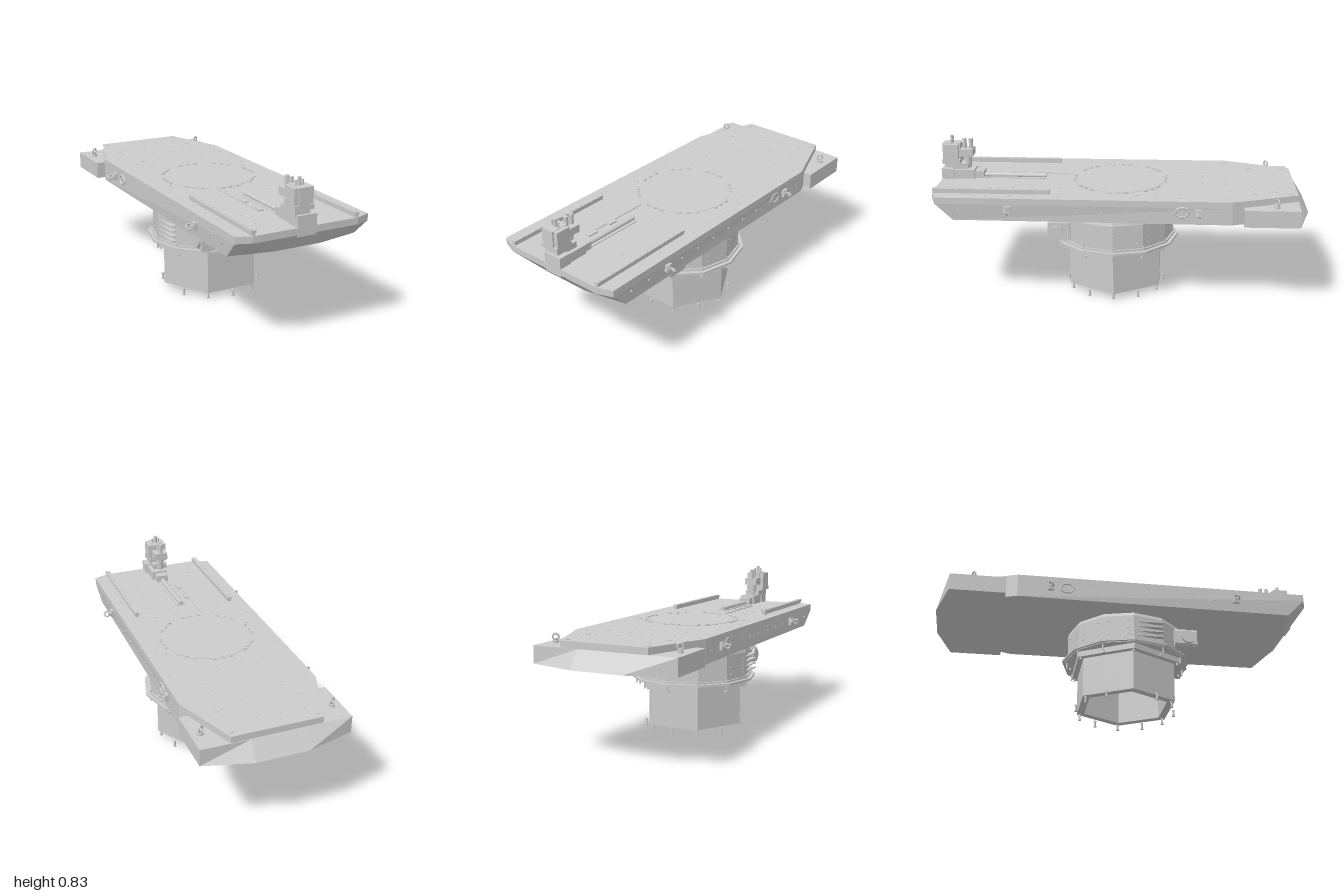
import * as THREE from 'three';

const mat = new THREE.MeshStandardMaterial({ color: 0xcccccc, flatShading: true, side: THREE.DoubleSide });
const CZ = 0.042; // z of the turning axis

function add(parent, name, geo, x = 0, y = 0, z = 0) {
  const m = new THREE.Mesh(geo, mat);
  m.name = name;
  m.position.set(x, y, z);
  parent.add(m);
  return m;
}
const box = (p, name, x0, x1, y0, y1, z0, z1) =>
  add(p, name, new THREE.BoxGeometry(x1 - x0, y1 - y0, z1 - z0), (x0 + x1) / 2, (y0 + y1) / 2, (z0 + z1) / 2);
const post = (p, name, r, y0, y1, x, z, n = 8) =>
  add(p, name, new THREE.CylinderGeometry(r, r, y1 - y0, n), x, (y0 + y1) / 2, z);
const lathe = (p, name, n, pts) =>
  add(p, name, new THREE.LatheGeometry(pts.map(([r, y]) => new THREE.Vector2(r, y)), n, Math.PI / 2), 0, 0, CZ);

// Solid between stacked outlines; each outline is the +x half, front to back
function loft(levels) {
  const rings = levels.map(({ y, half }) =>
    [...half, ...half.map(([x, z]) => [-x, z]).reverse()].map(([x, z]) => [x, y, z]));
  const v = [], n = rings[0].length;
  const lo = rings[0], hi = rings[rings.length - 1];
  for (let k = 0; k + 1 < rings.length; k++)
    for (let i = 0; i < n; i++) {
      const j = (i + 1) % n, a = rings[k], b = rings[k + 1];
      v.push(...a[i], ...a[j], ...b[j], ...a[i], ...b[j], ...b[i]);
    }
  for (let i = 1; i + 1 < n; i++) {
    v.push(...hi[0], ...hi[i], ...hi[i + 1]);
    v.push(...lo[0], ...lo[i + 1], ...lo[i]);
  }
  const g = new THREE.BufferGeometry();
  g.setAttribute('position', new THREE.Float32BufferAttribute(v, 3));
  g.computeVertexNormals();
  return g;
}

// Lifting eye standing on its local y = 0
function liftingEye(parent, x, y, z) {
  const g = new THREE.Group();
  g.name = 'liftingEye';
  post(g, 'eyeCollar', 0.016, 0, 0.014, 0, 0, 10);
  post(g, 'eyeStem', 0.008, 0.01, 0.024, 0, 0);
  add(g, 'eyeRing', new THREE.TorusGeometry(0.015, 0.005, 6, 14), 0, 0.032, 0).rotation.y = 0.6;
  g.position.set(x, y, z);
  parent.add(g);
  return g;
}

function buildBase() {
  const g = new THREE.Group();
  g.name = 'base';
  // Hollow hexagonal pedestal and its flange
  lathe(g, 'pedestal', 6, [[0, 0.24], [0.24, 0.24], [0.24, 0.035], [0.285, 0.035], [0.285, 0.25], [0, 0.25]]);
  lathe(g, 'flange', 6, [[0, 0.25], [0.318, 0.25], [0.318, 0.28], [0, 0.28]]);
  // Bearing rings
  lathe(g, 'bearingRing', 12, [[0, 0.28], [0.335, 0.28], [0.335, 0.284], [0.348, 0.284], [0.348, 0.295], [0, 0.295]]);
  lathe(g, 'upperRing', 12, [[0, 0.295], [0.328, 0.295], [0.328, 0.305], [0, 0.305]]);
  for (let i = 0; i < 12; i++) {
    const a = i * Math.PI / 6, c = Math.cos(a), s = Math.sin(a);
    post(g, 'flangeBolt', 0.006, 0.238, 0.25, 0.303 * c, CZ + 0.303 * s);
    post(g, 'ringStud', 0.004, 0.245, 0.318, 0.322 * c, CZ + 0.322 * s);
    if (i === 6) continue;
    // Anchor bolts below the pedestal
    const x = 0.267 * c, z = CZ + 0.267 * s;
    post(g, 'anchorHead', 0.0085, 0, 0.006, x, z);
    post(g, 'anchorShaft', 0.0055, 0.006, 0.028, x, z);
    post(g, 'anchorNut', 0.008, 0.028, 0.037, x, z, 6);
  }
  return g;
}

function buildTurntable() {
  const g = new THREE.Group();
  g.name = 'turntable';
  lathe(g, 'turntableBody', 12, [[0, 0.305], [0.318, 0.305], [0.318, 0.44], [0.312, 0.458], [0, 0.458]]);
  // Drive housing across the front
  const s = new THREE.Shape();
  s.moveTo(-0.225, 0.32);
  [[0.222, 0.32], [0.222, 0.42], [-0.225, 0.42], [-0.238, 0.405], [-0.238, 0.333]].forEach(p => s.lineTo(...p));
  add(g, 'driveHousing', new THREE.ExtrudeGeometry(s, { depth: 0.12, bevelEnabled: false }), 0, 0, 0.28);
  add(g, 'driveCap', new THREE.CylinderGeometry(0.037, 0.037, 0.49, 16), -0.008, 0.37, 0.352).rotation.z = Math.PI / 2;
  for (const [x, r, d] of [[-0.147, 0.01, 0.05], [-0.178, 0.004, 0.02], [0, 0.008, 0.006], [0.188, 0.005, 0.006]])
    add(g, 'housingBolt', new THREE.CylinderGeometry(r, r, d, 8), x, 0.37, 0.4).rotation.x = Math.PI / 2;
  // Stepped ribs on the right flank
  for (let i = 0; i < 4; i++)
    box(g, 'flankRib', -0.315, -0.285, 0.325 + i * 0.027, 0.331 + i * 0.027, 0.02, 0.2);
  // Rivets on the facets
  for (let i = 0; i < 12; i++) {
    const a = (i + 0.5) * Math.PI / 6;
    if (Math.sin(a) > 0.6) continue;
    for (const t of [-0.05, 0.05]) for (const y of [0.335, 0.37, 0.41]) {
      const r = 0.308;
      const m = add(g, 'rivet', new THREE.SphereGeometry(0.004, 6, 4),
        r * Math.cos(a) - t * Math.sin(a), y, CZ + r * Math.sin(a) + t * Math.cos(a));
      m.scale.y = 1;
    }
  }
  return g;
}

function buildDeck() {
  const g = new THREE.Group();
  g.name = 'deck';
  const back = [[0.37, -0.58], [0.24, -0.93]];
  add(g, 'deckSlab', loft([
    { y: 0.48, half: [[0.13, 0.925], [0.36, 0.88], ...back] },
    { y: 0.57, half: [[0.29, 1.0], [0.37, 0.97], ...back] },
    { y: 0.605, half: [[0.29, 1.0], [0.37, 0.97], ...back] },
  ]));
  // Wide tail block with a faceted rear face
  add(g, 'tailBlock', loft([
    { y: 0.479, half: [[0.395, -0.64], [0.395, -0.93], [0.14, -1.0]] },
    { y: 0.57, half: [[0.395, -0.64], [0.395, -0.93], [0.14, -0.935]] },
  ]));
  // Round cover plate with clamps
  post(g, 'coverPlate', 0.245, 0.6, 0.607, 0, 0.018, 40);
  for (let i = 0; i < 8; i++) {
    const a = i * Math.PI / 4, clamp = new THREE.Group();
    clamp.name = 'coverClamp';
    for (const t of [-0.045, 0, 0.045]) {
      box(clamp, 'clampPad', t - 0.014, t + 0.014, 0.604, 0.609, 0.243, 0.258);
      post(clamp, 'clampBolt', 0.006, 0.604, 0.613, t, 0.25);
    }
    clamp.position.z = 0.018;
    clamp.rotation.y = a;
    g.add(clamp);
  }
  // Screw plugs in the top
  for (let r = 0; r < 14; r++) {
    const z = -0.82 + r * 0.128;
    for (const x of [-0.32, -0.19, -0.065, 0.065, 0.19, 0.32]) {
      if (Math.hypot(x, z - 0.018) < 0.27 || (Math.abs(x) > 0.3 && z < -0.75)) continue;
      if (z > 0.38 && Math.abs(x) < 0.1) continue;
      post(g, 'screwPlug', 0.006, 0.603, 0.607, x, z);
    }
  }
  for (const [x, z] of [[-0.225, -0.89], [0.225, -0.89], [-0.225, -0.7], [0.225, -0.7], [0.275, -0.08], [-0.275, 0.1]])
    post(g, 'largePlug', 0.013, 0.603, 0.608, x, z, 12);
  for (const s of [-1, 1]) {
    // Guide rails
    box(g, 'railFoot', s * 0.285 - 0.009, s * 0.285 + 0.009, 0.6, 0.618, 0.375, 0.995);
    box(g, 'railHead', s * 0.285 - 0.013, s * 0.285 + 0.013, 0.616, 0.63, 0.375, 0.995);
    for (let i = 0; i < 15; i++) post(g, 'railBolt', 0.006, 0.628, 0.632, s * 0.285, 0.4 + i * 0.041);
    // Side and tail lifting eyes
    for (const z of [-0.405, 0.59]) {
      box(g, 'eyePad', s * 0.375 - 0.009, s * 0.375 + 0.009, 0.525, 0.565, z - 0.018, z + 0.018);
      liftingEye(g, s * 0.375, 0.545, z).rotation.z = -s * Math.PI / 2;
    }
    liftingEye(g, s * 0.345, 0.568, -0.81);
    // Round side port and side screws
    const port = add(g, 'sidePort', new THREE.TorusGeometry(0.026, 0.005, 6, 18), s * 0.37, 0.545, -0.32);
    port.rotation.y = Math.PI / 2;
    port.scale.x = 1.3;
    for (let i = 0; i < 12; i++)
      add(g, 'sideScrew', new THREE.CylinderGeometry(0.006, 0.006, 0.006, 8), s * 0.37, 0.54, 0.85 - i * 0.125)
        .rotation.z = Math.PI / 2;
  }
  return g;
}

function buildActuator() {
  const g = new THREE.Group();
  g.name = 'actuator';
  // Lead screw in its tray, and the cable strip next to it
  box(g, 'screwTray', -0.03, 0.026, 0.602, 0.609, 0.43, 0.83);
  add(g, 'leadScrew', new THREE.CylinderGeometry(0.013, 0.013, 0.36, 12), -0.002, 0.616, 0.61).rotation.x = Math.PI / 2;
  box(g, 'cableStrip', -0.084, -0.074, 0.602, 0.609, 0.29, 0.7);
  box(g, 'cableClip', -0.078, -0.052, 0.602, 0.612, 0.5, 0.55);
  box(g, 'cableClip', -0.078, -0.052, 0.602, 0.612, 0.64, 0.7);
  // Gearbox
  box(g, 'couplingBlock', -0.035, 0.032, 0.603, 0.645, 0.77, 0.84);
  box(g, 'gearbox', -0.045, 0.045, 0.6, 0.655, 0.82, 0.94);
  box(g, 'gearboxFace', -0.053, 0.053, 0.56, 0.663, 0.93, 1.0);
  for (const x of [-0.042, 0.042]) for (const y of [0.572, 0.652])
    add(g, 'faceBolt', new THREE.CylinderGeometry(0.005, 0.005, 0.004, 8), x, y, 1.0).rotation.x = Math.PI / 2;
  // Motor standing on the gearbox
  box(g, 'motorMount', -0.06, 0.025, 0.655, 0.686, 0.86, 0.985);
  box(g, 'motorFlange', -0.071, 0.036, 0.686, 0.71, 0.9, 0.998);
  box(g, 'motorBody', -0.048, 0.012, 0.7, 0.795, 0.9, 0.998);
  for (const x of [-0.058, 0.023]) box(g, 'motorCorner', x - 0.013, x + 0.013, 0.705, 0.793, 0.908, 0.99);
  post(g, 'motorShaft', 0.01, 0.795, 0.835, -0.018, 0.948, 10);
  for (const x of [-0.038, 0.002]) post(g, 'motorStud', 0.005, 0.795, 0.822, x, 0.948);
  // Connector stack behind the motor
  box(g, 'connectorBlock', -0.055, 0.02, 0.725, 0.765, 0.83, 0.905);
  post(g, 'connectorFoot', 0.02, 0.655, 0.73, -0.018, 0.865, 10);
  for (const z of [0.845, 0.88]) post(g, 'connectorPlug', 0.012, 0.765, 0.818, -0.018, z, 10);
  return g;
}

export function createModel() {
  const model = new THREE.Group();
  model.name = 'turntableDeck';
  model.add(buildBase(), buildTurntable(), buildDeck(), buildActuator());
  return model;
}
